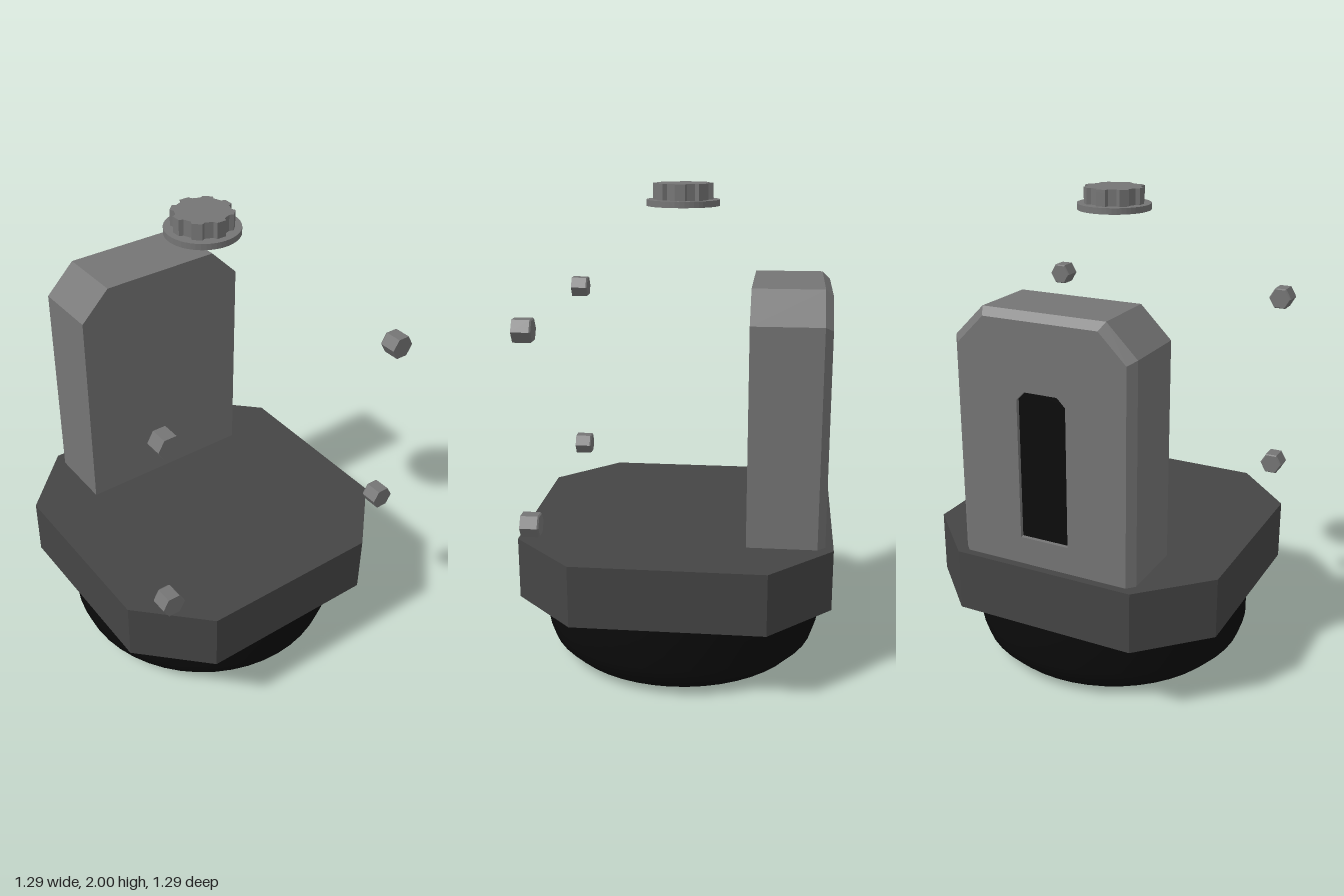
import * as THREE from 'three';
import { mergeGeometries, toCreasedNormals } from 'three/addons/utils/BufferGeometryUtils.js';

const grey = new THREE.MeshStandardMaterial({ color: 0x757575 });
grey.name = 'grey metal';
const dark = new THREE.MeshStandardMaterial({ color: 0x454545 });
dark.name = 'dark plate';
const black = new THREE.MeshStandardMaterial({ color: 0x0b0b0b });
black.name = 'black rubber';

const v2 = (x, y) => new THREE.Vector2(x, y);

// Upright outline with the two upper corners cut off
const outline = (w, y0, y1, c) => [
  v2(-w, y0), v2(w, y0), v2(w, y1 - c), v2(w - c, y1), v2(-w + c, y1), v2(-w, y1 - c),
];

// Walls joining two outlines, a at depth za and b at depth zb
function walls(a, za, b, zb) {
  const pos = [];
  a.forEach((p, i) => {
    const j = (i + 1) % a.length;
    const A = [p.x, p.y, za], B = [b[i].x, b[i].y, zb];
    const C = [b[j].x, b[j].y, zb], D = [a[j].x, a[j].y, za];
    pos.push(...A, ...B, ...C, ...A, ...C, ...D);
  });
  const g = new THREE.BufferGeometry();
  g.setAttribute('position', new THREE.Float32BufferAttribute(pos, 3));
  g.computeVertexNormals();
  return g;
}

// Flat face from an outline, optionally turned to the back
function face(points, z, back = false, hole = null) {
  const shape = new THREE.Shape(points);
  if (hole) shape.holes.push(new THREE.Path(hole));
  const g = new THREE.ShapeGeometry(shape).toNonIndexed();
  g.deleteAttribute('uv');
  if (back) g.rotateY(Math.PI);
  return g.translate(0, 0, z);
}

// Horizontal slab from a shape
const slab = (shape, y, height) => new THREE.ExtrudeGeometry(shape, {
  depth: height, bevelEnabled: false, curveSegments: 24,
}).rotateX(-Math.PI / 2).translate(0, y, 0);

// Knob outline with eight narrow teeth
function gear(scale) {
  const pts = [];
  for (let i = 0; i < 8; i++) {
    for (const [da, r] of [[-0.24, 0.108], [-0.16, 0.123], [0.16, 0.123], [0.24, 0.108]]) {
      const a = i * Math.PI / 4 + da;
      pts.push(v2(Math.cos(a) * r * scale, Math.sin(a) * r * scale));
    }
  }
  return pts;
}

export function createModel() {
  const model = new THREE.Group();
  const add = (name, geometry, material, parent = model) => {
    const mesh = new THREE.Mesh(geometry, material);
    mesh.name = name;
    parent.add(mesh);
    return mesh;
  };

  // Rounded round foot
  const footProfile = [[0, 0], [0.48, 0], [0.535, 0.025], [0.58, 0.07], [0.6, 0.13], [0.6, 0.33]];
  add('foot', toCreasedNormals(
    new THREE.LatheGeometry(footProfile.map(p => v2(...p)), 48), 0.6), black);

  // Eight-sided base plate
  const s = 0.645, c = 0.388;
  const octagon = [[s, -c], [s, c], [c, s], [-c, s], [-s, c], [-s, -c], [-c, -s], [c, -s]];
  add('basePlate', slab(new THREE.Shape(octagon.map(p => v2(...p))), 0.327, 0.258), dark);

  // Upright block with bevelled rear edges and a recessed slot in its back
  const outer = outline(0.386, 0.585, 1.615, 0.126);
  const inner = outline(0.356, 0.585, 1.585, 0.114);
  const slot = outline(0.105, 0.7, 1.31, 0.035);
  add('upright', mergeGeometries([
    face(outer, -0.293),
    walls(outer, -0.293, outer, -0.58),
    walls(outer, -0.58, inner, -0.612),
    face(inner, -0.612, true, slot),
    walls(slot, -0.612, slot, -0.595),
  ].map(g => {
    g.deleteAttribute('uv');
    return g;
  })), grey);
  add('slotPanel', face(slot, -0.595, true), black);

  // Hollow toothed knob on a thin flange
  const knob = new THREE.Group();
  knob.name = 'knob';
  model.add(knob);
  const flange = new THREE.Shape().absarc(0, 0, 0.15, 0, Math.PI * 2);
  flange.holes.push(new THREE.Path(gear(0.9)));
  add('flange', slab(flange, 1.91, 0.025), grey, knob);
  const rim = new THREE.Shape(gear(1));
  rim.holes.push(new THREE.Path(gear(0.9)));
  add('toothedRim', slab(rim, 1.935, 0.055), grey, knob);
  add('knobTop', slab(new THREE.Shape(gear(1)), 1.99, 0.01), grey, knob);

  // Four hexagonal bolts with a small chamfer on the rear end
  const boltProfile = [[0, 0], [0.045, 0], [0.05, 0.006], [0.05, 0.075], [0, 0.075]];
  const bolt = toCreasedNormals(
    new THREE.LatheGeometry(boltProfile.map(p => v2(...p)), 6)
      .rotateY(Math.PI / 2).rotateX(Math.PI / 2), 0.2);
  for (const x of [-0.547, 0.547]) {
    for (const y of [0.715, 1.49]) add('bolt', bolt, grey).position.set(x, y, 0.506);
  }
  return model;
}
